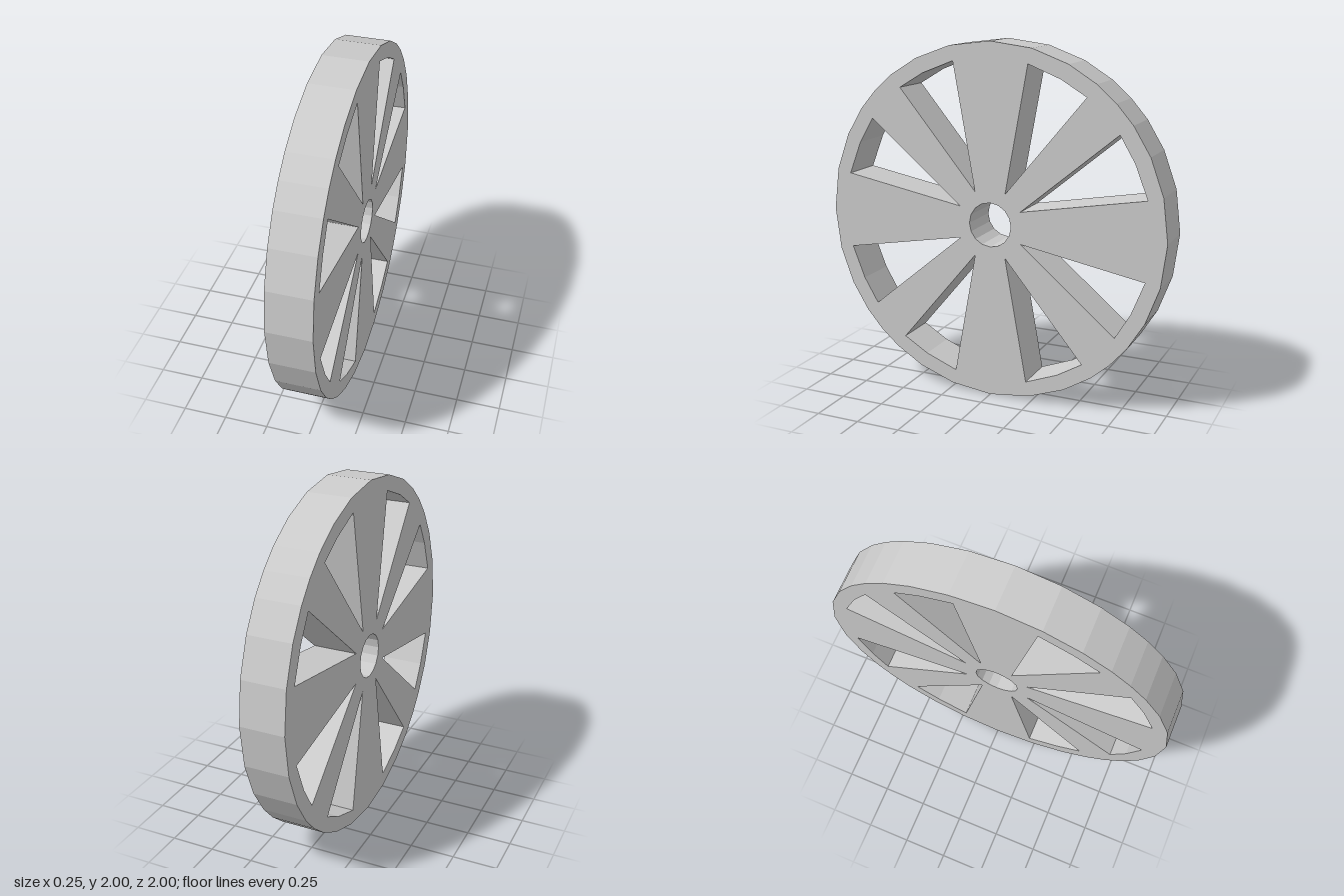
import * as THREE from 'three';

const WIDTH = 0.25;

// Repeats a list of points in all four quadrants, mirrored on both axes
function quadrants(points) {
  return [[1, 1], [-1, 1], [-1, -1], [1, -1]].map(([sx, sy]) => {
    const list = points.map(([x, y]) => new THREE.Vector2(x * sx, y * sy));
    return sx * sy < 0 ? list.reverse() : list;
  });
}

// Closed ring through an eighth of its outline, mirrored on the diagonal
function ring(eighth) {
  const mirrored = eighth.slice(1, -1).reverse().map(([x, y]) => [y, x]);
  const quarter = [...eighth, ...mirrored, [0, eighth[0][0]]];
  const points = quadrants(quarter).flat();
  return points.filter((p, i) => p.distanceTo(points[(i + 1) % points.length]) > 1e-4);
}

export function createModel() {
  const group = new THREE.Group();
  group.name = 'spokedWheel';

  // Faceted rim outline
  const disc = new THREE.Shape(ring([[1, 0], [0.97, 0.24], [0.895, 0.445], [0.8, 0.6], [0.707, 0.707]]));

  // Axle bore
  const bore = [];
  for (let i = 0; i < 16; i++) {
    const a = (i / 16) * Math.PI * 2;
    bore.push(new THREE.Vector2(Math.cos(a) * 0.125, Math.sin(a) * 0.125));
  }
  disc.holes.push(new THREE.Path(bore));

  // Two wedge windows in each quadrant, leaving wide and narrow spokes
  const wedge = [[0.18, 0.09], [0.888, 0.219], [0.815, 0.405], [0.73, 0.548]];
  const twin = wedge.map(([x, y]) => [y, x]).reverse();
  for (const points of [...quadrants(wedge), ...quadrants(twin)]) {
    disc.holes.push(new THREE.Path(points));
  }

  // Wheel body, turned so that its axle runs along x
  const geometry = new THREE.ExtrudeGeometry(disc, { depth: WIDTH, bevelEnabled: false });
  geometry.translate(0, 0, -WIDTH / 2);
  geometry.rotateY(Math.PI / 2);
  geometry.translate(0, 1, 0);

  const wheel = new THREE.Mesh(
    geometry,
    new THREE.MeshStandardMaterial({ color: 0xcccccc, flatShading: true })
  );
  wheel.name = 'wheel';
  group.add(wheel);
  return group;
}
